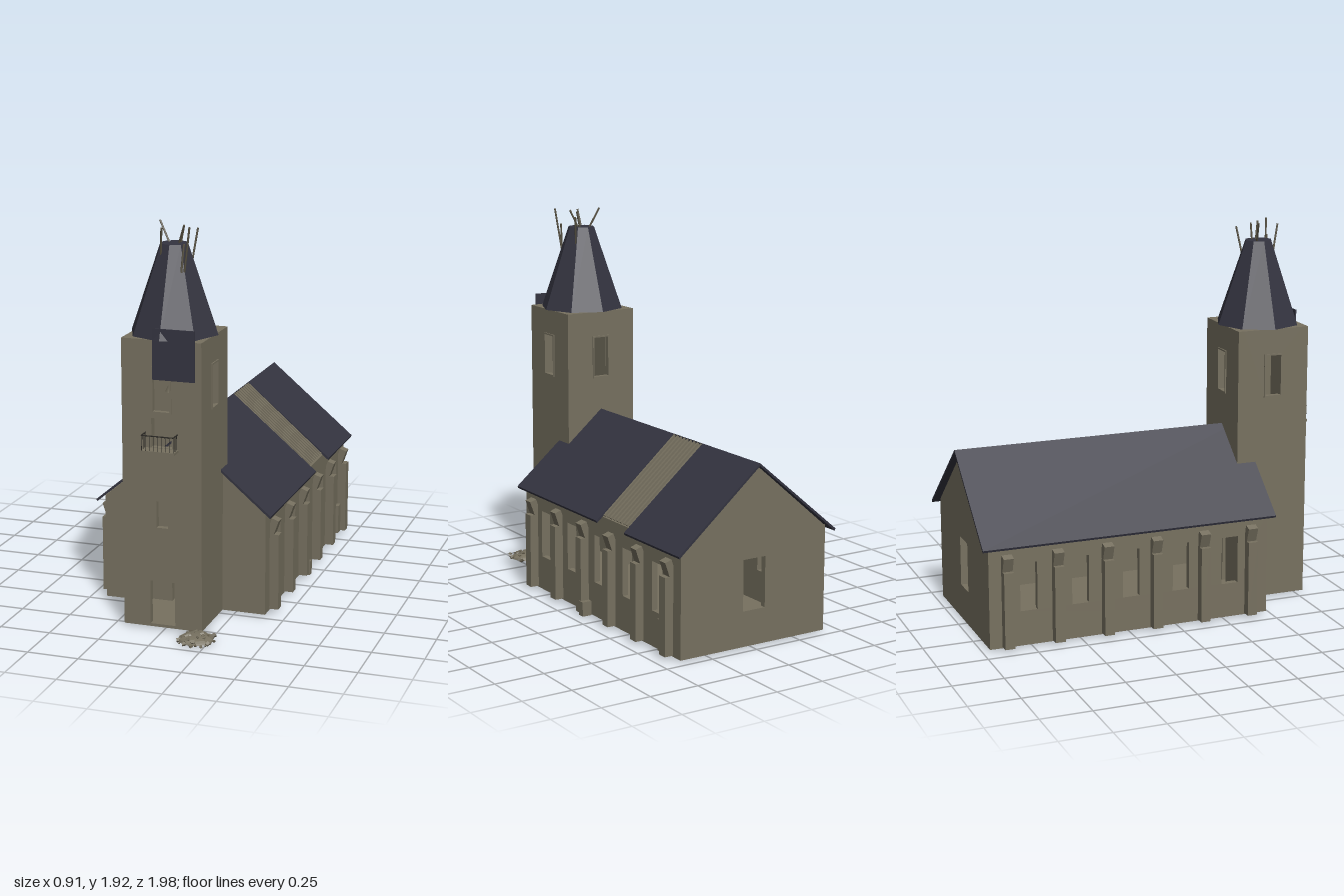
import * as THREE from 'three';

const mat = (name, color, side = THREE.FrontSide) => {
  const m = new THREE.MeshStandardMaterial({ color, side });
  m.name = name;
  return m;
};

export function createModel() {
  const stone = mat('stone', 0x777160);
  const slate = mat('slate', 0x343440, THREE.DoubleSide);
  const wood = mat('old wood', 0x5c5646);
  const iron = mat('dark iron', 0x2e2c28);

  const model = new THREE.Group();
  model.name = 'ruinedChurch';
  const church = new THREE.Group();
  church.name = 'church';
  church.position.x = -0.006;
  model.add(church);

  let seed = 7;
  const rnd = () => (seed = (seed * 16807) % 2147483647) / 2147483647;

  const add = (name, geo, m, x = 0, y = 0, z = 0, parent = church) => {
    const mesh = new THREE.Mesh(geo, m);
    mesh.name = name;
    mesh.position.set(x, y, z);
    parent.add(mesh);
    return mesh;
  };
  // Box given by its min and max corners
  const box = (name, m, x0, x1, y0, y1, z0, z1, parent) =>
    add(name, new THREE.BoxGeometry(x1 - x0, y1 - y0, z1 - z0), m,
      (x0 + x1) / 2, (y0 + y1) / 2, (z0 + z1) / 2, parent);
  // Straight rod between two points
  const rod = (name, m, a, b, r, parent) => {
    const p = new THREE.Vector3(...a), q = new THREE.Vector3(...b);
    const mesh = add(name, new THREE.CylinderGeometry(r, r, p.distanceTo(q), 5), m, 0, 0, 0, parent);
    mesh.position.copy(p).add(q).multiplyScalar(0.5);
    mesh.quaternion.setFromUnitVectors(new THREE.Vector3(0, 1, 0), q.sub(p).normalize());
    return mesh;
  };
  const poly = pts => pts.map(p => new THREE.Vector2(p[0], p[1]));
  const rect = (x0, x1, y0, y1) => [[x0, y0], [x1, y0], [x1, y1], [x0, y1]];
  // Wall outline with rectangular openings, given thickness
  const wallGeo = (outline, holes, t) => {
    const s = new THREE.Shape(poly(outline));
    holes.forEach(h => s.holes.push(new THREE.Path(poly(rect(...h).reverse()))));
    return new THREE.ExtrudeGeometry(s, { depth: t, bevelEnabled: false });
  };

  // Nave floor and walls
  const T = 0.03, base = 0.012;
  box('naveFloor', stone, -0.41, 0.41, 0.006, 0.02, -0.965, 0.48);
  box('towerFloor', stone, -0.194, 0.194, 0.006, 0.02, 0.45, 0.79);
  const gable = [[-0.41, base], [0.41, base], [0.41, 0.525], [0, 0.878], [-0.41, 0.525]];
  add('frontGable', wallGeo(gable, [[-0.065, 0.065, 0.02, 0.3]], T), stone, 0, 0, 0.45);
  add('backGable', wallGeo(gable, [[-0.062, 0.062, 0.18, 0.43]], T), stone, 0, 0, -0.965);
  const windowZ = [0, 1, 2, 3, 4].map(i => 0.277 - i * 0.261);
  const sideHoles = windowZ.map(z => [-z - 0.043, -z + 0.043, 0.18, 0.42]);
  for (const x of [-0.41, 0.38]) {
    const g = wallGeo(rect(-0.48, 0.965, base, 0.53), sideHoles, T).rotateY(Math.PI / 2);
    add(x < 0 ? 'rightNaveWall' : 'leftNaveWall', g, stone, x);
  }

  // Buttresses with tilted cap stones
  for (const s of [-1, 1]) for (let i = 0; i < 6; i++) {
    const z = 0.385 - i * 0.2525;
    add('buttress', new THREE.BoxGeometry(0.05, 0.38, 0.05), stone, s * 0.43, 0.202, z);
    add('buttressCap', new THREE.BoxGeometry(0.036, 0.08, 0.05), stone, s * 0.424, 0.43, z)
      .rotation.z = -s * 0.33;
  }

  // Slate roof: closed on one slope, with a gap on the other
  const slope = (name, s, z0, z1) => {
    const pts = [[0, 0.89], [0, 0.877], [s * 0.441, 0.503], [s * 0.445, 0.514]];
    const g = new THREE.ExtrudeGeometry(new THREE.Shape(poly(pts)), { depth: z1 - z0, bevelEnabled: false });
    add(name, g, slate, 0, 0, z0);
  };
  slope('roofRightSlope', -1, -1, 0.51);
  slope('roofLeftBack', 1, -1, -0.53);
  slope('roofLeftFront', 1, -0.28, 0.51);

  // Bare rafters in the gap
  for (let i = 0; i < 9; i++) {
    const r = add('rafter', new THREE.BoxGeometry(0.535, 0.014, 0.012), stone,
      0.2, 0.708, -0.288 - i * 0.029);
    r.rotation.z = -Math.atan(0.864);
  }

  // Hollow tower
  const H = 0.195, Z0 = 0.41, Z1 = 0.79, TC = 0.6;
  const face = rect(-H, H, base, 1.4);
  const bellHole = [-0.046, 0.046, 1.06, 1.27];
  add('towerFront', wallGeo(face, [bellHole, [-0.062, 0.062, 0.02, 0.235],
    [-0.028, 0.028, 0.5, 0.63], [-0.05, 0.05, 0.89, 1.03]], T), stone, 0, 0, Z1 - T);
  add('towerBack', wallGeo(face, [bellHole, [-0.065, 0.065, 0.02, 0.3]], T), stone, 0, 0, Z0);
  for (const x of [-H, H - T]) {
    const g = wallGeo(rect(-Z1 + T, -Z0 - T, base, 1.4),
      [[-TC - 0.043, -TC + 0.043, 1.06, 1.27]], T).rotateY(Math.PI / 2);
    add('towerSide', g, stone, x);
  }
  box('towerTop', stone, -H + T, H - T, 1.38, 1.4, Z0 + T, Z1 - T);

  // Thin frames around the belfry openings
  for (let i = 0; i < 4; i++) {
    const f = new THREE.Group();
    f.name = 'belfryFrame';
    f.position.set(0, 0, TC);
    f.rotation.y = i * Math.PI / 2;
    church.add(f);
    const d = i % 2 ? H : Z1 - TC;
    for (const x of [-0.045, 0.045]) box('frameSide', stone, x - 0.004, x + 0.004, 1.055, 1.275, d - 0.01, d + 0.006, f);
    for (const y of [1.059, 1.271]) box('frameBar', stone, -0.049, 0.049, y - 0.004, y + 0.004, d - 0.01, d + 0.006, f);
  }

  // Bell
  add('bell', new THREE.CylinderGeometry(0.006, 0.047, 0.08, 12), stone, 0, 1.155, TC);
  add('bellKnob', new THREE.SphereGeometry(0.01, 8, 6), iron, 0, 1.213, TC);

  // Broken spire with splintered timbers
  add('spire', new THREE.CylinderGeometry(0.068, 0.214, 0.42, 8).toNonIndexed(), slate, 0, 1.61, TC)
    .geometry.computeVertexNormals();
  box('hangingRoofPanel', slate, -0.04, 0.166, 1.215, 1.455, 0.793, 0.799);
  [[[-0.085, 1.915, 0.56], [-0.02, 1.79, 0.58]],
   [[-0.03, 1.9, 0.69], [-0.045, 1.76, 0.66]],
   [[0.055, 1.905, 0.62], [0, 1.76, 0.58]],
   [[0.04, 1.9, 0.575], [0.02, 1.8, 0.575]],
   [[0.105, 1.91, 0.69], [0.075, 1.7, 0.675]],
   [[0.085, 1.88, 0.515], [0.065, 1.72, 0.545]],
   [[0.075, 1.83, 0.68], [0.065, 1.7, 0.69]]]
    .forEach(([a, b]) => rod('brokenTimber', wood, a, b, 0.005));

  // Balcony with iron railing
  box('balconyFloor', stone, -0.083, 0.083, 0.876, 0.888, 0.78, 0.852);
  for (let i = 0; i <= 8; i++) {
    const x = -0.078 + i * 0.0195;
    rod('baluster', iron, [x, 0.885, 0.847], [x, 0.96, 0.847], 0.002);
  }
  for (const x of [-0.078, 0.078]) {
    for (const z of [0.8, 0.823]) rod('baluster', iron, [x, 0.885, z], [x, 0.96, z], 0.002);
    rod('sideRail', iron, [x, 0.96, 0.79], [x, 0.96, 0.847], 0.003);
  }
  rod('frontRail', iron, [-0.08, 0.96, 0.847], [0.08, 0.96, 0.847], 0.003);

  // Altar seen through the doorway
  box('altar', stone, -0.1, 0.1, 0.02, 0.11, -0.82, -0.76);

  // Rubble heap beside the door
  const heap = new THREE.SphereGeometry(0.085, 10, 5, 0, Math.PI * 2, 0, Math.PI / 2).toNonIndexed();
  heap.scale(1, 0.33, 1).computeVertexNormals();
  add('rubbleHeap', heap, stone, 0.195, 0.002, 0.875);
  for (let i = 0; i < 45; i++) {
    const a = rnd() * 6.283, r = 0.03 + 0.085 * rnd(), s = 0.006 + 0.011 * rnd();
    const y = 0.007 + Math.max(0, 0.026 * (1 - (r / 0.085) ** 2));
    const c = add('rubbleStone', new THREE.BoxGeometry(s, s * 0.7, s * 1.2), i % 4 ? stone : wood,
      0.2 + r * Math.cos(a) * 0.8, y, 0.88 + r * Math.sin(a) * 0.95);
    c.rotation.set(rnd() * 0.5, rnd() * 3, rnd() * 0.5);
  }

  // Fallen blocks against the nave wall
  box('fallenBlock', stone, 0.41, 0.46, 0.002, 0.075, -0.17, -0.135);
  box('brokenPier', stone, 0.405, 0.43, 0.012, 0.165, -0.845, -0.8);
  return model;
}
